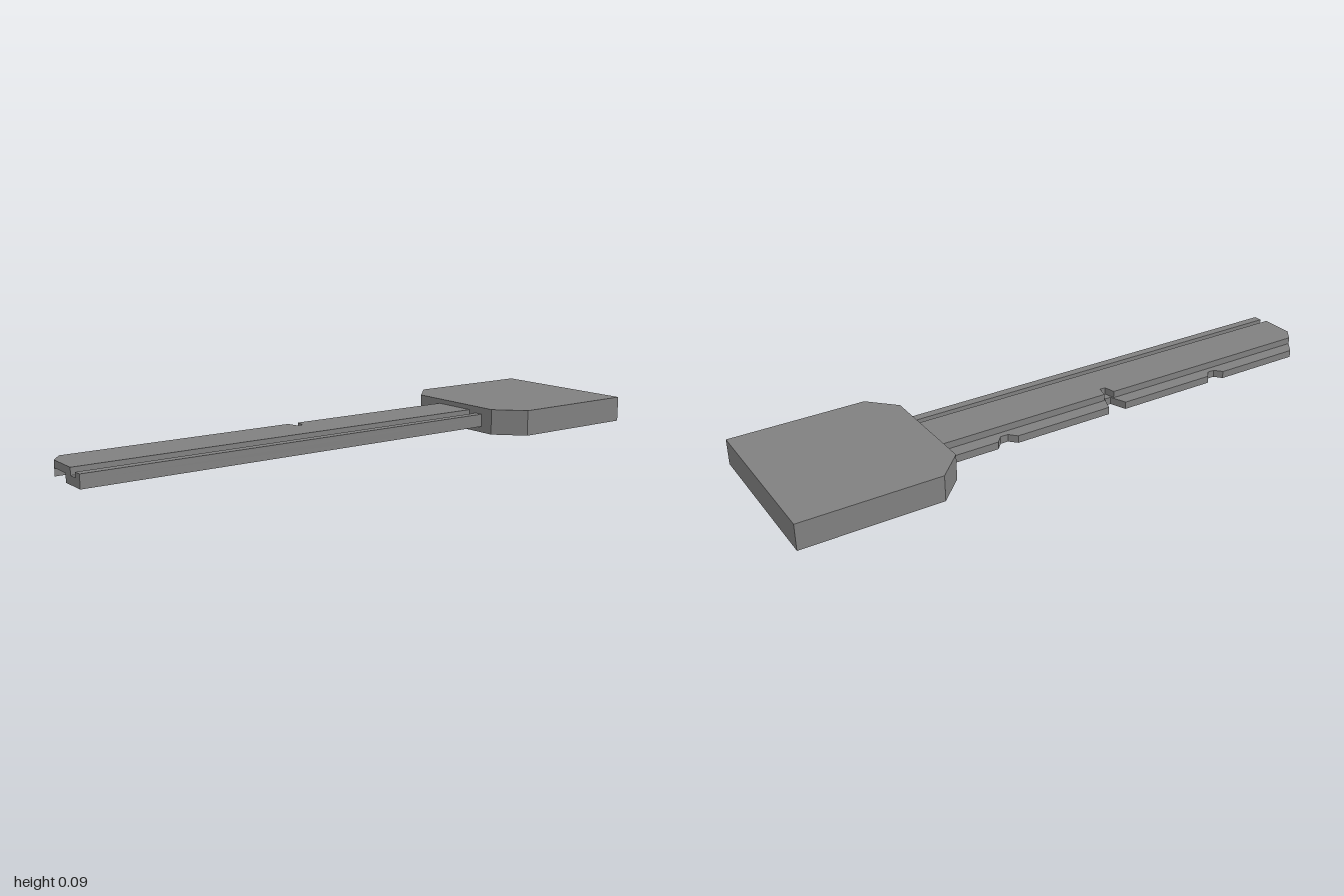
import * as THREE from 'three';

// Slab from a plan outline of [x, z] points, between two heights
function slab(name, plan, y0, y1, material) {
  const shape = new THREE.Shape(plan.map(([x, z]) => new THREE.Vector2(x, -z)));
  const geo = new THREE.ExtrudeGeometry(shape, { depth: y1 - y0, bevelEnabled: false });
  geo.rotateX(-Math.PI / 2);
  geo.translate(0, y0, 0);
  const mesh = new THREE.Mesh(geo, material);
  mesh.name = name;
  return mesh;
}

const strip = (x0, x1) => [[x0, -0.46], [x0, 1], [x1, 1], [x1, -0.46]];

// Tapered cut in an edge at x, centred on z
const notch = (x, z, depth, mouth, floor) => [
  [x, z - mouth], [x + depth, z - floor], [x + depth, z + floor], [x, z + mouth],
];

export function createModel() {
  const key = new THREE.Group();
  key.name = 'key';
  const metal = new THREE.MeshStandardMaterial({ color: 0x808080 });
  metal.name = 'grey metal';

  // Handle with two clipped corners
  key.add(slab('handle', [
    [-0.272, -1], [-0.272, -0.545], [-0.185, -0.46],
    [0.185, -0.46], [0.272, -0.545], [0.272, -1],
  ], 0, 0.086, metal));

  // Lower cutting edge with three notches and an angled tip
  key.add(slab('cuttingEdge', [
    [-0.13, -0.46],
    ...notch(-0.13, -0.248, 0.025, 0.036, 0.013),
    ...notch(-0.13, 0.167, 0.055, 0.033, 0.012),
    ...notch(-0.13, 0.583, 0.025, 0.033, 0.013),
    [-0.13, 0.93], [-0.038, 1], [-0.038, -0.46],
  ], 0.022, 0.047, metal));

  // Raised middle of the blade, with the deep notch running into it
  key.add(slab('bladeCentre', [
    [-0.083, -0.46],
    ...notch(-0.083, 0.167, 0.038, 0.019, 0.01),
    [-0.083, 0.966], [-0.038, 1], [0.075, 1], [0.075, -0.46],
  ], 0.047, 0.07, metal));

  // Spine along the straight side, and the rib above it
  key.add(slab('spine', strip(0.041, 0.136), 0.02, 0.047, metal));
  key.add(slab('spineRib', strip(0.107, 0.136), 0.047, 0.063, metal));

  return key;
}
